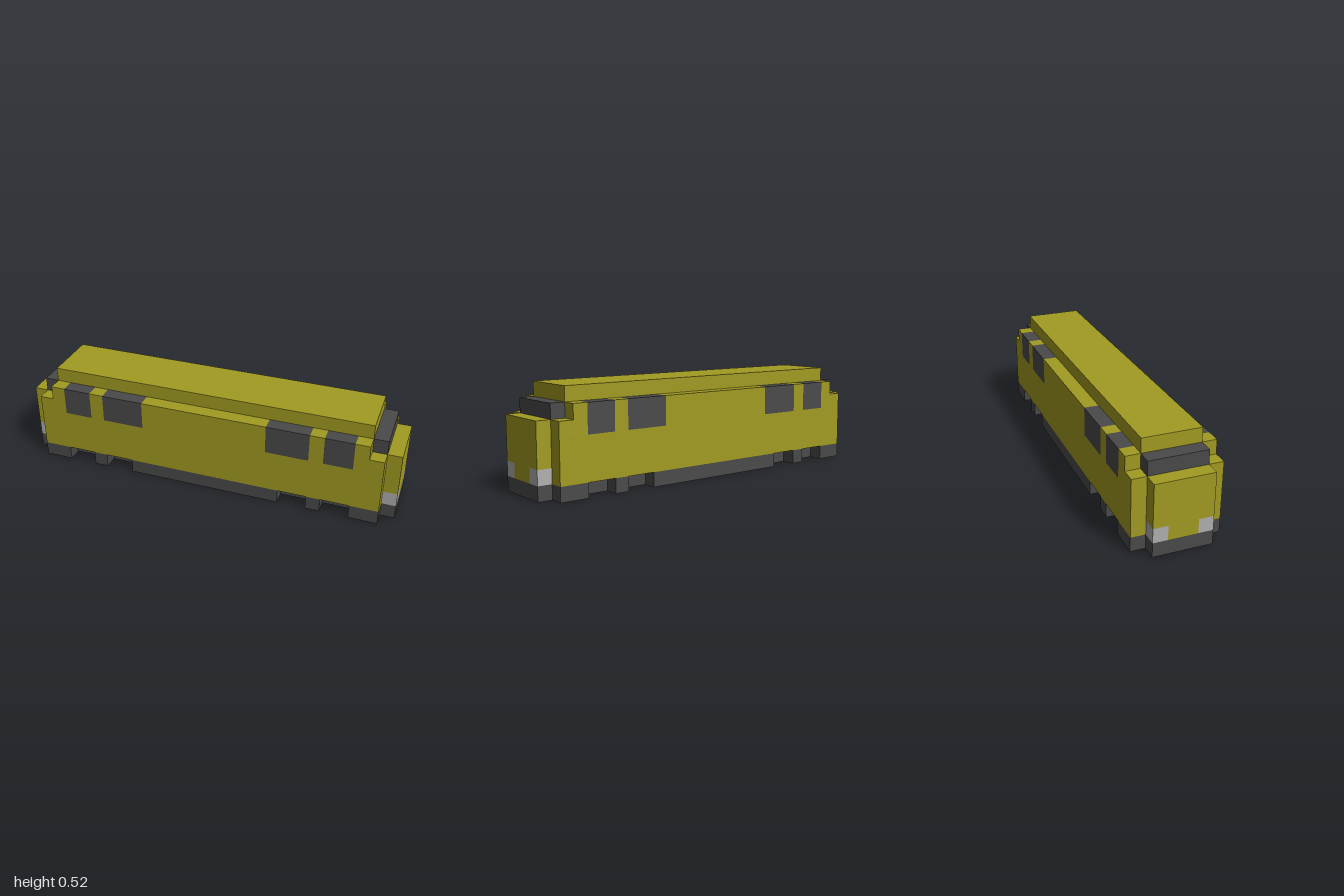
import * as THREE from 'three';

// One block is 1/27 of the two-unit length.
const U = 2 / 27;

export function createModel() {
  const group = new THREE.Group();
  const mat = (name, color) => {
    const m = new THREE.MeshStandardMaterial({ color });
    m.name = name;
    return m;
  };
  const olive = mat('olive yellow paint', 0xa29b22);
  const dark = mat('dark grey', 0x4a4a4a);
  const pale = mat('pale grey', 0xb0b0b0);

  // Box given by its limits in blocks.
  const box = (name, material, x0, x1, y0, y1, z0, z1) => {
    const mesh = new THREE.Mesh(
      new THREE.BoxGeometry((x1 - x0) * U, (y1 - y0) * U, (z1 - z0) * U), material);
    mesh.position.set((x0 + x1) / 2 * U, (y0 + y1) / 2 * U, (z0 + z1) / 2 * U);
    mesh.name = name;
    group.add(mesh);
  };
  // Box on both ends, mirrored in x.
  const ends = (name, material, x0, x1, ...rest) => {
    box(name, material, x0, x1, ...rest);
    box(name, material, -x1, -x0, ...rest);
  };
  // Outer wall block on both long sides.
  const sides = (name, material, x0, x1, y0, y1) => {
    box(name, material, x0, x1, y0, y1, 2, 3);
    box(name, material, x0, x1, y0, y1, -3, -2);
  };
  // Outer wall block in all four corners.
  const corners = (name, material, x0, x1, y0, y1) => {
    sides(name, material, x0, x1, y0, y1);
    sides(name, material, -x1, -x0, y0, y1);
  };

  // Chassis with notches along both sides
  box('chassis', dark, -13.5, 13.5, 0, 1, -2, 2);
  sides('middleSkirt', dark, -5.5, 5.5, 0, 1);
  corners('bogieSkirt', dark, 7.5, 8.5, 0, 1);
  corners('endSkirt', dark, 10.5, 12.5, 0, 1);

  // Body core and raised roof
  box('bodyCore', olive, -12.5, 12.5, 1, 5, -2, 2);
  box('roof', olive, -11.5, 11.5, 5, 7, -2, 2);

  // Side walls, with windows between the upper wall sections
  sides('sideWall', olive, -12.5, 12.5, 1, 4);
  sides('upperWall', olive, -4.5, 4.5, 4, 6);
  corners('longWindow', dark, 4.5, 7.5, 4, 6);
  corners('windowPillar', olive, 7.5, 8.5, 4, 6);
  corners('shortWindow', dark, 8.5, 10.5, 4, 6);
  corners('cabWall', olive, 10.5, 11.5, 4, 6);
  corners('cabShoulder', olive, 11.5, 12.5, 4, 5);

  // Cab windscreens, noses and lamps
  ends('windscreen', dark, 11.5, 12.5, 5, 6, -2, 2);
  ends('nose', olive, 12.5, 13.5, 2, 5, -2, 2);
  ends('lowerNose', olive, 12.5, 13.5, 1, 2, -1, 1);
  for (const z of [-2, 1]) ends('lamp', pale, 12.5, 13.5, 1, 2, z, z + 1);

  return group;
}
